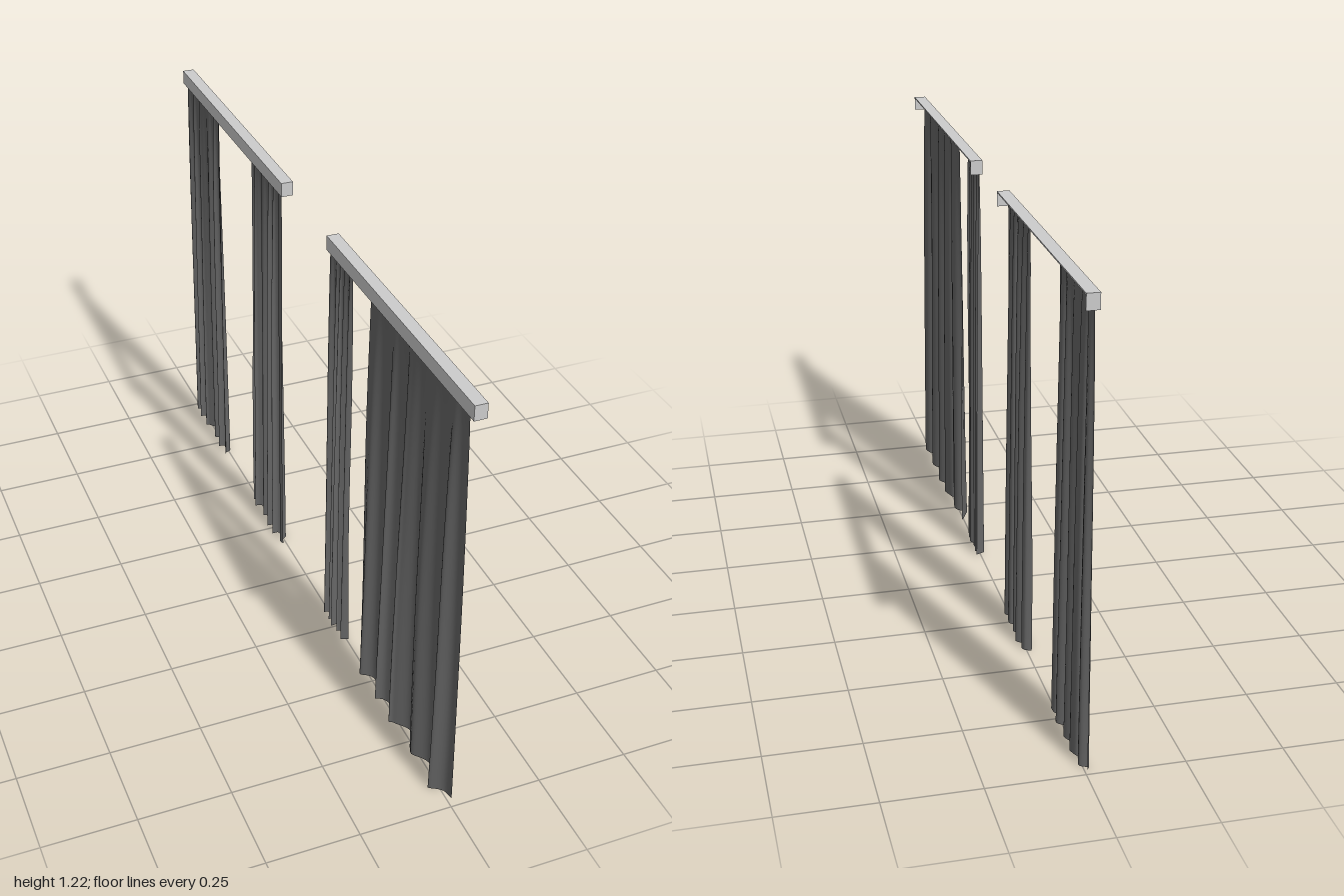
import * as THREE from 'three';

const rail = new THREE.MeshStandardMaterial({ color: 0xcccccc, side: THREE.DoubleSide });
rail.name = 'pale grey rail';
const cloth = new THREE.MeshStandardMaterial({ color: 0x666666, side: THREE.DoubleSide });
cloth.name = 'dark grey cloth';

const HEIGHT = 1.2;

function box(name, w, h, d, x, y, z) {
  const m = new THREE.Mesh(new THREE.BoxGeometry(w, h, d), rail);
  m.name = name;
  m.position.set(x, y, z);
  return m;
}

// Channel open to +x and below: top, back plate and two end caps
function makeRail(z0, z1) {
  const g = new THREE.Group();
  g.name = 'curtainRail';
  const len = z1 - z0, mid = (z0 + z1) / 2;
  g.add(box('railTop', 0.033, 0.004, len, 0.0095, 1.213, mid));
  g.add(box('railBack', 0.002, 0.04, len, -0.006, 1.195, mid));
  for (const z of [z0 + 0.001, z1 - 0.001]) g.add(box('railEnd', 0.033, 0.04, 0.002, 0.0095, 1.195, z));
  return g;
}

// Pleated sheet: folds deepen and the cloth spreads towards the floor
function makeCurtain(name, { bottom, top, folds, depth, lean, phase }) {
  const geo = new THREE.PlaneGeometry(1, 1, folds * 20, 30);
  const p = geo.attributes.position;
  for (let i = 0; i < p.count; i++) {
    const u = p.getX(i) + 0.5, v = p.getY(i) + 0.5;
    const spread = Math.pow(1 - v, 0.5);
    const a = u * folds * Math.PI * 2 + phase + 0.7 * Math.sin(u * 9 + phase) + 0.25 * Math.sin(v * 5 + u * 7);
    const wave = Math.sin(a) + 0.2 * Math.sin(2.3 * a + phase);
    const x = spread * depth * (wave * (0.85 + 0.15 * Math.sin(u * 13 + phase)) - 0.18);
    const z0 = THREE.MathUtils.lerp(bottom[0], top[0], v * v);
    const z1 = THREE.MathUtils.lerp(bottom[1], top[1], v * v);
    // Sideways lean of each fold, fading out at the hems
    const edge = Math.min(1, 8 * u * (1 - u));
    const z = z1 + (z0 - z1) * u + edge * spread * lean * Math.cos(a);
    p.setXYZ(i, x, v * HEIGHT, z);
  }
  geo.computeVertexNormals();
  const m = new THREE.Mesh(geo, cloth);
  m.name = name;
  return m;
}

export function createModel() {
  const model = new THREE.Group();
  model.name = 'curtains';
  model.add(makeRail(0.16, 1), makeRail(-1, -0.16));
  const curtains = {
    wideCurtain: { bottom: [0.41, 0.975], top: [0.43, 0.965], folds: 5, depth: 0.02, lean: 0.012, phase: 0.6 },
    gatheredCurtain: { bottom: [0.165, 0.315], top: [0.165, 0.313], folds: 5, depth: 0.014, lean: 0.006, phase: 2.1 },
    innerCurtain: { bottom: [-0.412, -0.166], top: [-0.408, -0.175], folds: 5, depth: 0.018, lean: 0.008, phase: 3.7 },
    outerCurtain: { bottom: [-0.987, -0.68], top: [-0.977, -0.685], folds: 5, depth: 0.015, lean: 0.008, phase: 5.2 },
  };
  for (const [name, spec] of Object.entries(curtains)) model.add(makeCurtain(name, spec));
  return model;
}
